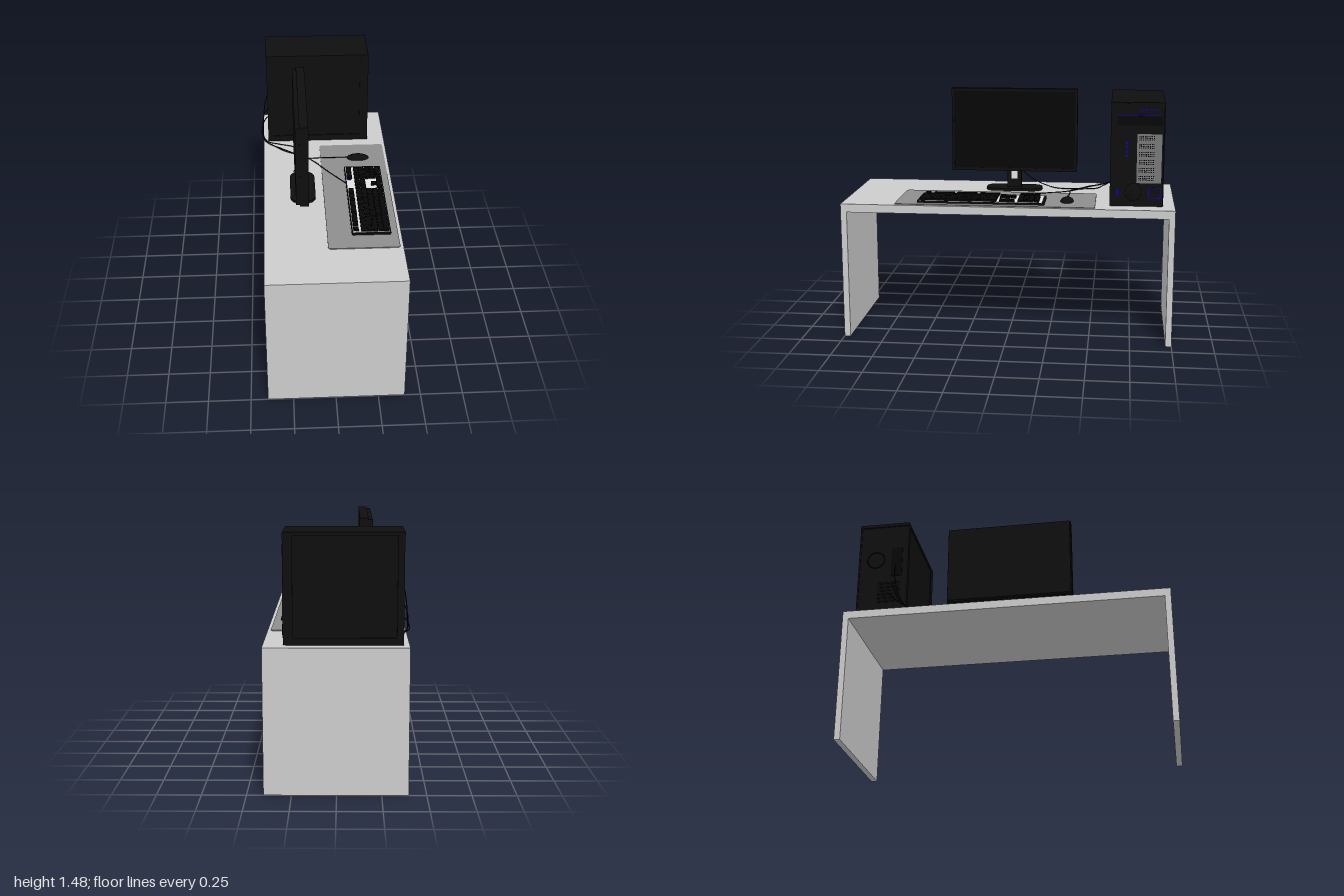
import * as THREE from 'three';

const mat = (name, color) => Object.assign(new THREE.MeshStandardMaterial({ color }), { name });

export function createModel() {
  const M = {
    desk: mat('desk grey', 0xcccccc),
    pad: mat('pad grey', 0x8e8e8e),
    black: mat('case black', 0x0e0e0e),
    key: mat('key black', 0x070707),
    plate: mat('keyboard plate white', 0xe2e2e2),
    grille: mat('grille grey', 0x777777),
    blue: mat('light blue', 0x0a00c8),
  };
  const model = new THREE.Group();
  model.name = 'computerDesk';
  const group = (name) => {
    const g = new THREE.Group();
    g.name = name;
    model.add(g);
    return g;
  };
  const add = (parent, name, geo, material) => {
    const m = new THREE.Mesh(geo, material);
    m.name = name;
    parent.add(m);
    return m;
  };
  // Box given by its extents on each axis
  const box = (parent, name, material, x0, x1, y0, y1, z0, z1) =>
    add(parent, name, new THREE.BoxGeometry(x1 - x0, y1 - y0, z1 - z0), material)
      .position.set((x0 + x1) / 2, (y0 + y1) / 2, (z0 + z1) / 2);
  // Flat slab with rounded corners lying on y0
  const slab = (parent, name, material, x0, x1, y0, y1, z0, z1, r) => {
    const s = new THREE.Shape();
    s.moveTo(x0 + r, -z1).lineTo(x1 - r, -z1).quadraticCurveTo(x1, -z1, x1, -z1 + r);
    s.lineTo(x1, -z0 - r).quadraticCurveTo(x1, -z0, x1 - r, -z0);
    s.lineTo(x0 + r, -z0).quadraticCurveTo(x0, -z0, x0, -z0 - r);
    s.lineTo(x0, -z1 + r).quadraticCurveTo(x0, -z1, x0 + r, -z1);
    const g = new THREE.ExtrudeGeometry(s, { depth: y1 - y0, bevelEnabled: false });
    add(parent, name, g.rotateX(-Math.PI / 2).translate(0, y0, 0), material);
  };

  // Desk
  const desk = group('desk');
  box(desk, 'deskTop', M.desk, -0.4, 0.406, 0.785, 0.835, -1, 1);
  for (const s of [-1, 1]) {
    box(desk, 'deskSide', M.desk, -0.4, 0.406, 0, 0.785, Math.min(s, s * 0.963), Math.max(s, s * 0.963));
  }
  slab(model, 'deskPad', M.pad, -0.03, 0.387, 0.835, 0.84, -0.528, 0.675, 0.02);

  // Monitor, screen facing +x
  const monitor = group('monitor');
  box(monitor, 'backShell', M.black, -0.206, -0.18, 0.962, 1.47, -0.392, 0.392);
  box(monitor, 'panel', M.black, -0.182, -0.134, 0.955, 1.48, -0.398, 0.398);
  for (const [y0, y1, z0, z1] of [[1.464, 1.48, -0.398, 0.398], [0.955, 0.975, -0.398, 0.398],
    [0.975, 1.464, -0.398, -0.384], [0.975, 1.464, 0.384, 0.398]]) {
    box(monitor, 'bezel', M.black, -0.134, -0.13, y0, y1, z0, z1);
  }
  box(monitor, 'screen', M.key, -0.134, -0.132, 0.975, 1.464, -0.384, 0.384);
  box(monitor, 'neck', M.black, -0.18, -0.14, 0.845, 0.96, -0.045, 0.045);
  box(monitor, 'neckPlate', M.plate, -0.14, -0.137, 0.905, 0.953, -0.02, 0.02);
  slab(monitor, 'standBase', M.black, -0.235, -0.08, 0.835, 0.851, -0.177, 0.177, 0.072);

  // Computer tower, front facing +x
  const tower = group('tower');
  box(tower, 'case', M.black, -0.362, 0.28, 0.835, 1.44, -0.92, -0.618);
  box(tower, 'topCap', M.black, -0.37, 0.292, 1.435, 1.455, -0.93, -0.612);
  box(tower, 'frontPanel', M.black, 0.28, 0.294, 0.835, 1.45, -0.925, -0.612);
  for (const [z0, z1] of [[-0.93, -0.92], [-0.618, -0.612]]) {
    box(tower, 'sideBottomRail', M.black, -0.368, 0.28, 0.835, 0.875, z0, z1);
    box(tower, 'sideRearRail', M.black, -0.368, -0.33, 0.875, 1.435, z0, z1);
    box(tower, 'sideFrontRail', M.black, 0.24, 0.28, 0.875, 1.435, z0, z1);
  }
  // Front panel bays, grille and lights
  box(tower, 'driveBay', M.key, 0.294, 0.297, 1.32, 1.375, -0.915, -0.65);
  box(tower, 'bayLine', M.blue, 0.294, 0.298, 1.378, 1.381, -0.91, -0.65);
  box(tower, 'grille', M.grille, 0.294, 0.297, 0.976, 1.27, -0.914, -0.768);
  for (let b = 0; b < 6; b++) {
    for (let r = 0; r < 3; r++) {
      for (let c = 0; c < 9; c++) {
        const y = 0.992 + b * 0.048 + r * 0.011, z = -0.87 + c * 0.0105;
        box(tower, 'grilleHole', M.key, 0.297, 0.298, y, y + 0.006, z, z + 0.006);
      }
    }
  }
  for (let i = 0; i < 4; i++) {
    box(tower, 'topLight', M.blue, 0.294, 0.297, 1.41, 1.415, -0.88 + i * 0.027, -0.862 + i * 0.027);
    box(tower, 'sideLight', M.blue, 0.294, 0.297, 1.13 + i * 0.026, 1.146 + i * 0.026, -0.713, -0.703);
  }
  box(tower, 'powerLight', M.blue, 0.294, 0.297, 0.9, 0.935, -0.666, -0.652);
  box(tower, 'portFrame', M.blue, 0.294, 0.296, 0.884, 0.95, -0.912, -0.84);
  box(tower, 'portCover', M.black, 0.294, 0.298, 0.888, 0.946, -0.908, -0.844);
  // Bulging lower control panel
  const bulge = add(tower, 'controlBulge', new THREE.SphereGeometry(1, 20, 12), M.black);
  bulge.scale.set(0.013, 0.055, 0.05);
  bulge.position.set(0.291, 0.92, -0.75);
  // Rear ports, slots and fan
  box(tower, 'portPanel', M.key, -0.367, -0.362, 1.08, 1.28, -0.72, -0.65);
  for (let i = 0; i < 6; i++) {
    box(tower, 'rearSlot', M.key, -0.366, -0.362, 0.9 + i * 0.025, 0.915 + i * 0.025, -0.8, -0.66);
  }
  const fan = add(tower, 'rearFan', new THREE.TorusGeometry(0.055, 0.004, 8, 28), M.key);
  fan.rotation.y = Math.PI / 2;
  fan.position.set(-0.362, 1.2, -0.82);

  // Keyboard, typed on from +x
  const keyboard = group('keyboard');
  slab(keyboard, 'keyboardCase', M.black, 0.115, 0.346, 0.84, 0.851, -0.225, 0.545, 0.01);
  box(keyboard, 'keyboardPlate', M.plate, 0.122, 0.339, 0.851, 0.853, -0.212, 0.533);
  const U = 0.031, P = 0.0335;
  const key = (x, z1, w) => // z1 is the left edge, w counts key units
    box(keyboard, 'key', M.key, x + 0.001, x + P - 0.001, 0.852, 0.866, z1 - w * U + 0.001, z1 - 0.001);
  // Main block rows from far to near
  const ones = (n) => Array(n).fill(1);
  const rows = [
    [...ones(13), 2], [1.5, ...ones(12), 1.5], [1.75, ...ones(11), 2.25],
    [2.25, ...ones(10), 2.75], [1.25, 1.25, 1.25, 6.25, 1.25, 1.25, 1.25, 1.25],
  ];
  rows.forEach((row, r) => {
    let z = 0.53;
    for (const w of row) {
      key(0.17 + r * P, z, w);
      z -= w * U;
    }
  });
  // Far row, navigation, arrows and number pad
  for (const [z, n] of [[0.523, 1], [0.468, 4], [0.328, 4], [0.185, 4], [-0.065, 4]]) {
    for (let i = 0; i < n; i++) key(0.124, z - i * U, 1);
  }
  for (let c = 0; c < 3; c++) {
    for (let r = 0; r < 2; r++) key(0.17 + r * P, 0.052 - c * 0.033, 1);
    key(0.17 + 4 * P, 0.047 - c * U, 1);
  }
  key(0.17 + 3 * P, 0.047 - U, 1);
  for (let r = 0; r < 5; r++) {
    for (let c = 0; c < 4; c++) key(0.17 + r * P, -0.064 - c * 0.0325, 1);
  }
  box(keyboard, 'keyboardLight', M.blue, 0.126, 0.15, 0.853, 0.856, -0.064, -0.058);

  // Mouse
  const mouse = group('mouse');
  const body = add(mouse, 'mouseBody',
    new THREE.SphereGeometry(1, 28, 10, 0, Math.PI * 2, 0, Math.PI / 2), M.black);
  body.scale.set(0.071, 0.025, 0.04);
  body.position.set(0.213, 0.84, -0.355);
  const wheel = add(mouse, 'mouseWheel', new THREE.CylinderGeometry(0.008, 0.008, 0.007, 16), M.key);
  wheel.rotation.x = Math.PI / 2;
  wheel.position.set(0.173, 0.858, -0.355);

  // Cables running over the desk to the back of the tower
  const cables = group('cables');
  const cable = (name, pts) => add(cables, name, new THREE.TubeGeometry(
    new THREE.CatmullRomCurve3(pts.map((p) => new THREE.Vector3(...p))), 80, 0.003, 6), M.key);
  cable('mouseCable', [[0.145, 0.845, -0.357], [0, 0.844, -0.36], [-0.13, 0.84, -0.37], [-0.17, 0.839, -0.43],
    [-0.2, 0.839, -0.52], [-0.29, 0.839, -0.56], [-0.38, 0.845, -0.6], [-0.402, 0.88, -0.64],
    [-0.39, 1.0, -0.7], [-0.362, 1.035, -0.71]]);
  cable('keyboardCable', [[0.117, 0.846, -0.03], [0.02, 0.844, -0.17], [-0.08, 0.839, -0.33], [-0.14, 0.839, -0.395],
    [-0.25, 0.839, -0.46], [-0.33, 0.839, -0.54], [-0.395, 0.85, -0.61], [-0.398, 0.95, -0.66],
    [-0.385, 1.08, -0.69], [-0.362, 1.17, -0.69]]);
  cable('monitorCable', [[-0.19, 0.97, -0.03], [-0.21, 0.9, -0.1], [-0.19, 0.842, -0.25], [-0.18, 0.839, -0.4],
    [-0.28, 0.839, -0.5], [-0.37, 0.84, -0.58], [-0.41, 0.87, -0.65], [-0.39, 0.94, -0.72], [-0.362, 0.96, -0.74]]);

  return model;
}
